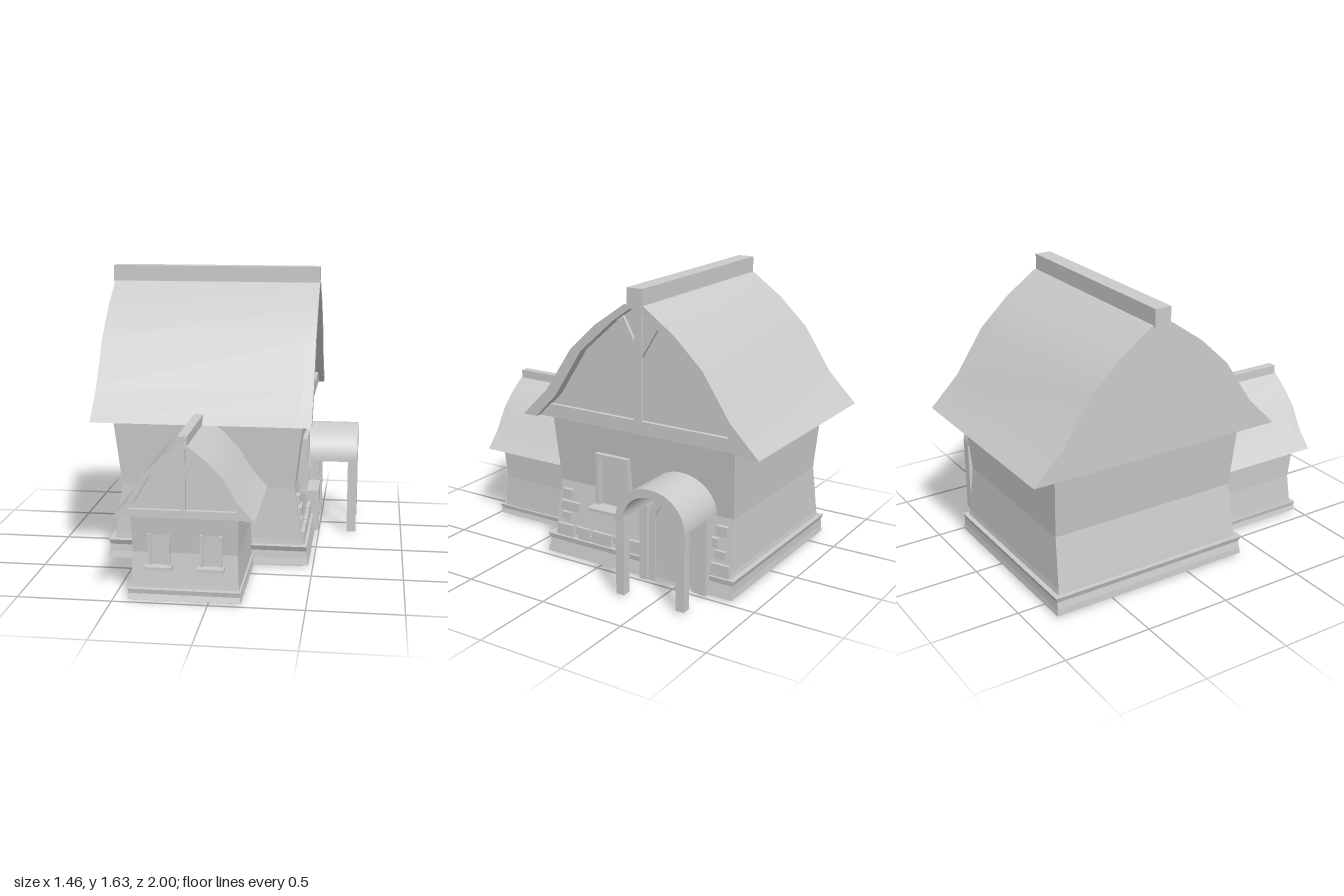
import * as THREE from 'three';
import { toCreasedNormals } from 'three/addons/utils/BufferGeometryUtils.js';

const material = new THREE.MeshStandardMaterial({ color: 0xcccccc });

function add(parent, name, geometry) {
  const mesh = new THREE.Mesh(geometry, material);
  mesh.name = name;
  parent.add(mesh);
  return mesh;
}

// box given by its limits on each axis
function box(parent, name, x0, x1, y0, y1, z0, z1) {
  const mesh = add(parent, name, new THREE.BoxGeometry(x1 - x0, y1 - y0, z1 - z0));
  mesh.position.set((x0 + x1) / 2, (y0 + y1) / 2, (z0 + z1) / 2);
  return mesh;
}

// stack of rectangular sections [y, x0, x1, z0, z1], capped at both ends
function loft(sections) {
  const pos = [], idx = [];
  for (const [y, x0, x1, z0, z1] of sections) pos.push(x0, y, z1, x1, y, z1, x1, y, z0, x0, y, z0);
  for (let s = 0; s < sections.length - 1; s++) {
    for (let i = 0; i < 4; i++) {
      const a = s * 4 + i, b = s * 4 + (i + 1) % 4;
      idx.push(a, b, b + 4, a, b + 4, a + 4);
    }
  }
  const t = (sections.length - 1) * 4;
  idx.push(0, 2, 1, 0, 3, 2, t, t + 1, t + 2, t, t + 2, t + 3);
  const g = new THREE.BufferGeometry();
  g.setAttribute('position', new THREE.Float32BufferAttribute(pos, 3));
  g.setIndex(idx);
  const flat = g.toNonIndexed();
  flat.computeVertexNormals();
  return flat;
}

// extrude a shape along z between two planes, keeping sharp edges
function slab(parent, name, shape, z0, z1) {
  const g = new THREE.ExtrudeGeometry(shape, { depth: z1 - z0, bevelEnabled: false, curveSegments: 20 });
  g.translate(0, 0, z0);
  return add(parent, name, toCreasedNormals(g, 0.5));
}

const OUTER = [[0.75, 0], [0.58, 0.17], [0.415, 0.42], [0.245, 0.58], [0.06, 0.71]];
const INNER = [[0.66, 0], [0.52, 0.145], [0.345, 0.42], [0.135, 0.61], [0.025, 0.69]];

// bowed roof facing +z: solid body, projecting rim and timber framing in the gable
function gableRoof(name, sx, sy, back, wall, timber, front) {
  const roof = new THREE.Group();
  roof.name = name;
  const poly = (pts) => new THREE.Shape(pts.map(([x, y]) => new THREE.Vector2(x * sx, y * sy)));
  const mirror = (pts) => pts.map(([x, y]) => [-x, y]).reverse();
  slab(roof, 'roofBody', poly([...OUTER, ...mirror(OUTER)]), back, wall);
  slab(roof, 'roofRim', poly([...OUTER, ...mirror(OUTER), ...INNER.map(([x, y]) => [-x, y]), ...mirror(INNER.map(([x, y]) => [-x, y]))]), wall, front);
  slab(roof, 'tieBeam', poly([[0.66, 0], [0.59, 0.075], [-0.59, 0.075], [-0.66, 0]]), wall, timber);
  slab(roof, 'kingPost', poly([[-0.022, 0.075], [0.022, 0.075], [0.022, 0.7], [-0.022, 0.7]]), wall, timber);
  const brace = [[0.02, 0.42], [0.135, 0.61], [0.1, 0.645], [0.02, 0.5]];
  slab(roof, 'brace', poly(brace), wall, timber - 0.005);
  slab(roof, 'brace', poly(mirror(brace)), wall, timber - 0.005);
  return roof;
}

// upright opening outline with an elliptical head
function archPath(half, bottom, spring, top, PathType = THREE.Shape) {
  const p = new PathType();
  p.moveTo(-half, bottom);
  p.lineTo(half, bottom);
  p.lineTo(half, spring);
  p.absellipse(0, spring, half, top - spring, 0, Math.PI, false, 0);
  p.lineTo(-half, bottom);
  return p;
}

// arch band open at the bottom
function archBand(outer, inner, bottom, spring, topOut, topIn) {
  const s = new THREE.Shape();
  s.moveTo(outer, bottom);
  s.lineTo(outer, spring);
  s.absellipse(0, spring, outer, topOut - spring, 0, Math.PI, false, 0);
  s.lineTo(-outer, bottom);
  s.lineTo(-inner, bottom);
  s.lineTo(-inner, spring);
  s.absellipse(0, spring, inner, topIn - spring, Math.PI, 0, true, 0);
  s.lineTo(inner, bottom);
  return s;
}

// framed window facing +z with its sill at local y = 0
function windowUnit(w, h, bar, depth, sillDepth, topBar) {
  const g = new THREE.Group();
  g.name = 'window';
  box(g, 'pane', -w / 2, w / 2, 0, h - 0.005, -0.04, depth * 0.35);
  for (const s of [-1, 1]) {
    const x = s * (w - bar) / 2;
    box(g, 'frameSide', x - bar / 2, x + bar / 2, 0, h, -0.04, depth);
  }
  if (topBar) box(g, 'frameTop', -w / 2 + bar, w / 2 - bar, h - bar, h, -0.04, depth);
  box(g, 'sill', -w / 2 - 0.012, w / 2 + 0.012, -0.018, 0, -0.04, sillDepth);
  return g;
}

export function createModel() {
  const house = new THREE.Group();
  house.name = 'house';

  // main block
  add(house, 'mainPlinth', loft([
    [0, -0.64, 0.445, -0.83, 0.345], [0.012, -0.64, 0.445, -0.83, 0.345],
    [0.013, -0.66, 0.475, -0.85, 0.365], [0.05, -0.658, 0.468, -0.845, 0.358],
    [0.09, -0.65, 0.46, -0.845, 0.355], [0.12, -0.66, 0.465, -0.855, 0.37]]));
  add(house, 'mainWalls', loft([
    [0.1, -0.635, 0.445, -0.83, 0.335], [0.15, -0.628, 0.435, -0.822, 0.33],
    [0.44, -0.585, 0.39, -0.808, 0.318], [0.84, -0.632, 0.437, -0.83, 0.337]]));
  const mainRoof = gableRoof('mainRoof', 1, 1, -0.72, 0.43, 0.455, 0.49);
  mainRoof.rotation.y = Math.PI / 2;
  mainRoof.position.set(0, 0.828, -0.245);
  house.add(mainRoof);
  box(house, 'mainRidge', -0.73, 0.488, 1.53, 1.628, -0.295, -0.2);

  // front wing
  add(house, 'wingPlinth', loft([
    [0, -0.4, 0.15, 0.3, 0.96], [0.01, -0.4, 0.15, 0.3, 0.96],
    [0.011, -0.42, 0.17, 0.3, 0.985], [0.04, -0.413, 0.163, 0.3, 0.975], [0.065, -0.418, 0.168, 0.3, 0.98]]));
  add(house, 'wingWalls', loft([
    [0.05, -0.41, 0.158, 0.3, 0.95], [0.09, -0.407, 0.155, 0.3, 0.945],
    [0.25, -0.397, 0.147, 0.3, 0.928], [0.46, -0.405, 0.155, 0.3, 0.953]]));
  const wingRoof = gableRoof('wingRoof', 0.487, 0.535, 0.3, 0.95, 0.975, 1);
  wingRoof.position.set(-0.125, 0.45, 0);
  house.add(wingRoof);
  box(house, 'wingRidge', -0.15, -0.1, 0.82, 0.88, 0.3, 0.995);
  for (const x of [-0.2575, 0.0125]) {
    const win = windowUnit(0.115, 0.165, 0.017, 0.02, 0.06, false);
    win.position.set(x, 0.19, 0.933);
    house.add(win);
  }

  // side window
  const sideWindow = windowUnit(0.215, 0.302, 0.023, 0.05, 0.115, true);
  sideWindow.rotation.y = Math.PI / 2;
  sideWindow.position.set(0.395, 0.36, -0.063);
  house.add(sideWindow);

  // doorway with a barrel-roofed porch
  const porch = new THREE.Group();
  porch.name = 'porch';
  porch.rotation.y = Math.PI / 2;
  porch.position.z = -0.495;
  slab(porch, 'door', archPath(0.12, 0.01, 0.37, 0.487), 0.36, 0.472);
  slab(porch, 'doorFrame', archBand(0.157, 0.117, 0.01, 0.37, 0.53, 0.487), 0.36, 0.487);
  slab(porch, 'porchRoof', archBand(0.212, 0.165, 0.45, 0.451, 0.648, 0.602), 0.39, 0.725);
  for (const s of [-1, 1]) {
    for (const z of [0.445, 0.67]) {
      const x = s * 0.186;
      box(porch, 'porchPost', x - 0.025, x + 0.025, 0.012, 0.452, z, z + 0.054);
    }
  }
  house.add(porch);

  // stones on the side wall: [z0, z1, y0, y1, outer x]
  const stones = [
    [0.23, 0.295, 0.34, 0.395, 0.42], [0.175, 0.3, 0.27, 0.325, 0.43], [0.23, 0.295, 0.215, 0.26, 0.435],
    [0.205, 0.315, 0.12, 0.19, 0.45], [0.165, 0.19, 0.145, 0.19, 0.445], [0.09, 0.165, 0.12, 0.19, 0.45],
    [0.075, 0.09, 0.12, 0.15, 0.445], [-0.06, 0.07, 0.12, 0.19, 0.45], [-0.085, -0.07, 0.145, 0.19, 0.445],
    [-0.135, -0.09, 0.12, 0.19, 0.45], [-0.29, -0.15, 0.12, 0.195, 0.45], [-0.29, -0.265, 0.21, 0.26, 0.435],
    [-0.785, -0.715, 0.34, 0.395, 0.42], [-0.735, -0.69, 0.27, 0.325, 0.43], [-0.785, -0.72, 0.215, 0.26, 0.435],
    [-0.815, -0.7, 0.12, 0.19, 0.45]];
  for (const [z0, z1, y0, y1, x] of stones) box(house, 'stone', 0.37, x, y0, y1, z0, z1);

  return house;
}
